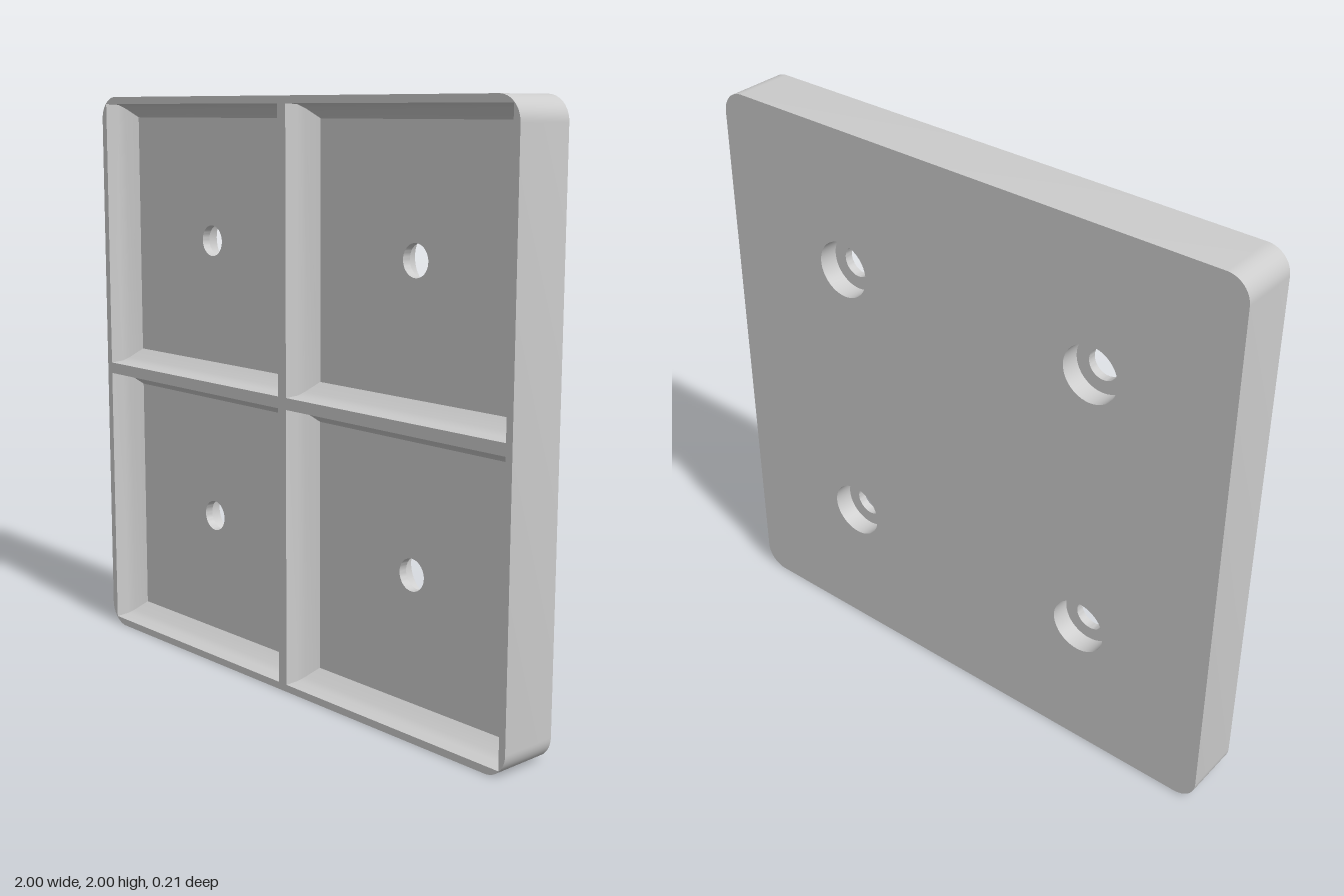
import * as THREE from 'three';
import { toCreasedNormals } from 'three/addons/utils/BufferGeometryUtils.js';

const BACK = -0.105, LEDGE = -0.035, FLOOR = -0.005, FRONT = 0.105;
const HOLE_R = 0.054, BORE_R = 0.1;
const CELL = 0.4975, CELL_HALF = 0.4775; // pocket centre and half width at the rim
const FLOOR_HALF = 0.43;

const material = new THREE.MeshStandardMaterial({ color: 0xcccccc });

// Counter-clockwise outline of a square with rounded corners (r = half gives a circle)
function outline(cx, cy, half, r = 0, steps = 12) {
  const pts = [];
  const n = r > 0 ? steps : 0;
  for (let corner = 0; corner < 4; corner++) {
    const mid = Math.PI / 4 + corner * Math.PI / 2;
    const ox = cx + Math.sign(Math.cos(mid)) * (half - r);
    const oy = cy + Math.sign(Math.sin(mid)) * (half - r);
    for (let i = 0; i <= n; i++) {
      if (r === half && i === n) continue; // next quarter starts here
      const a = corner * Math.PI / 2 + (n ? i / n : 0) * Math.PI / 2;
      pts.push(new THREE.Vector2(ox + r * Math.cos(a), oy + r * Math.sin(a)));
    }
  }
  return pts;
}

// Skin between outlines; back to front faces outward, front to back faces inward
function loft(rings) {
  const pos = [];
  for (let k = 0; k < rings.length - 1; k++) {
    const [p, zp] = rings[k], [q, zq] = rings[k + 1];
    for (let i = 0; i < p.length; i++) {
      const j = (i + 1) % p.length;
      const a = [p[i].x, p[i].y, zp], b = [p[j].x, p[j].y, zp];
      const c = [q[j].x, q[j].y, zq], d = [q[i].x, q[i].y, zq];
      pos.push(...a, ...b, ...c, ...a, ...c, ...d);
    }
  }
  const geo = new THREE.BufferGeometry();
  geo.setAttribute('position', new THREE.Float32BufferAttribute(pos, 3));
  return toCreasedNormals(geo, 0.6);
}

// Flat face with openings
function plate(points, holes, z, facesBack = false) {
  const shape = new THREE.Shape(points);
  holes.forEach(h => shape.holes.push(new THREE.Path(h)));
  const geo = new THREE.ShapeGeometry(shape);
  if (facesBack) geo.rotateY(Math.PI);
  return geo.translate(0, 0, z);
}

export function createModel() {
  const model = new THREE.Group();
  model.name = 'tray';
  const body = new THREE.Group();
  body.position.y = 1;
  model.add(body);
  const add = (name, geo) => {
    const mesh = new THREE.Mesh(geo, material);
    mesh.name = name;
    body.add(mesh);
  };

  const quadrants = [[1, 1], [-1, 1], [-1, -1], [1, -1]];
  const outer = outline(0, 0, 1, 0.08);
  const circle = (sx, sy, r) => outline(sx * 0.5, sy * 0.5, r, r);
  const square = (sx, sy, half) => outline(sx * CELL, sy * CELL, half);

  // Outer shell
  add('outerWall', loft([[outer, BACK], [outer, FRONT]]));
  add('backFace', plate(outer, quadrants.map(([sx, sy]) => circle(sx, sy, BORE_R)), BACK, true));
  add('rimAndRibs', plate(outer, quadrants.map(([sx, sy]) => square(sx, sy, CELL_HALF)), FRONT));

  // Four pockets, each with sloped sides and a counterbored screw hole
  for (const [sx, sy] of quadrants) {
    add('pocketWall', loft([
      [square(sx, sy, CELL_HALF), FRONT],
      [square(sx, sy, 0.475), 0.055],
      [square(sx, sy, 0.463), 0.033],
      [square(sx, sy, FLOOR_HALF), FLOOR],
    ]));
    add('pocketFloor', plate(square(sx, sy, FLOOR_HALF), [circle(sx, sy, HOLE_R)], FLOOR));
    add('screwHole', loft([
      [circle(sx, sy, HOLE_R), FLOOR],
      [circle(sx, sy, HOLE_R), LEDGE],
      [circle(sx, sy, BORE_R), LEDGE],
      [circle(sx, sy, BORE_R), BACK],
    ]));
  }
  return model;
}
